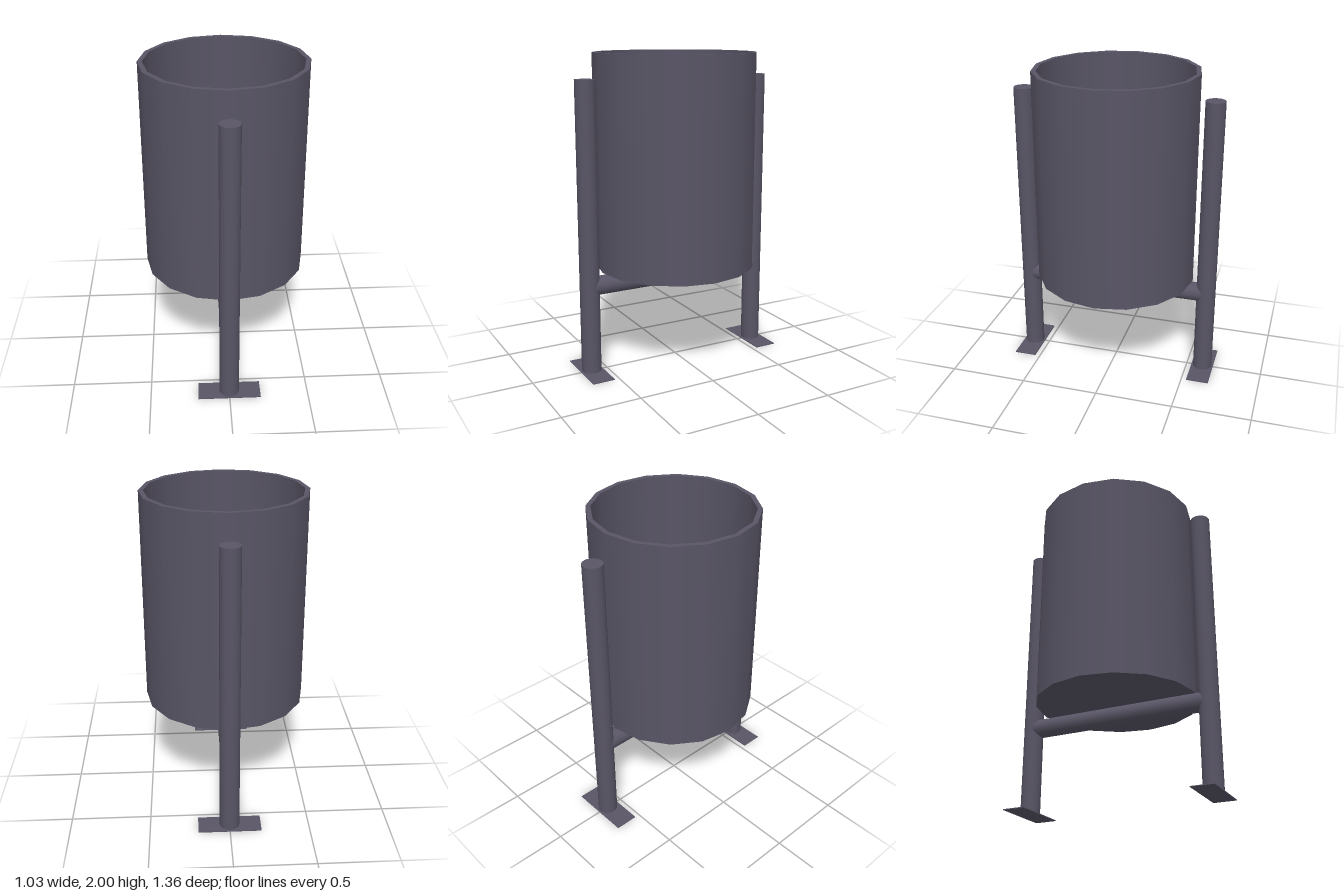
import * as THREE from 'three';
import { mergeGeometries } from 'three/addons/utils/BufferGeometryUtils.js';

const SIDES = 16;

// Revolves each profile segment separately, so corners between them stay sharp
function sharpLathe(profile) {
  const points = profile.map(([r, y]) => new THREE.Vector2(r, y));
  const bands = points.slice(1).map((p, i) => new THREE.LatheGeometry([points[i], p], SIDES));
  return mergeGeometries(bands);
}

export function createModel() {
  const group = new THREE.Group();
  const paint = new THREE.MeshStandardMaterial({ color: 0x595566 });
  paint.name = 'dark grey paint';

  function add(name, geometry, x = 0, y = 0, z = 0) {
    const mesh = new THREE.Mesh(geometry, paint);
    mesh.name = name;
    mesh.position.set(x, y, z);
    group.add(mesh);
    return mesh;
  }

  // Open bin: underside, outer wall, rim, inner wall, floor
  add('bin', sharpLathe([[0, 0.64], [0.515, 0.64], [0.515, 2], [0.485, 2], [0.485, 0.67], [0, 0.67]]));

  // Front and back posts, each on a flat foot plate
  for (const [side, s] of [['front', 1], ['back', -1]]) {
    add(side + 'Post', new THREE.CylinderGeometry(0.0625, 0.0625, 1.847, SIDES), 0, 0.9255, s * 0.606);
    add(side + 'Foot', new THREE.BoxGeometry(0.395, 0.005, 0.145), 0, 0.0025, s * 0.606);
  }

  // Crossbar under the bin
  const bar = add('crossbar', new THREE.CylinderGeometry(0.06, 0.06, 1.2, SIDES), 0, 0.565, 0);
  bar.rotation.x = Math.PI / 2;

  return group;
}
